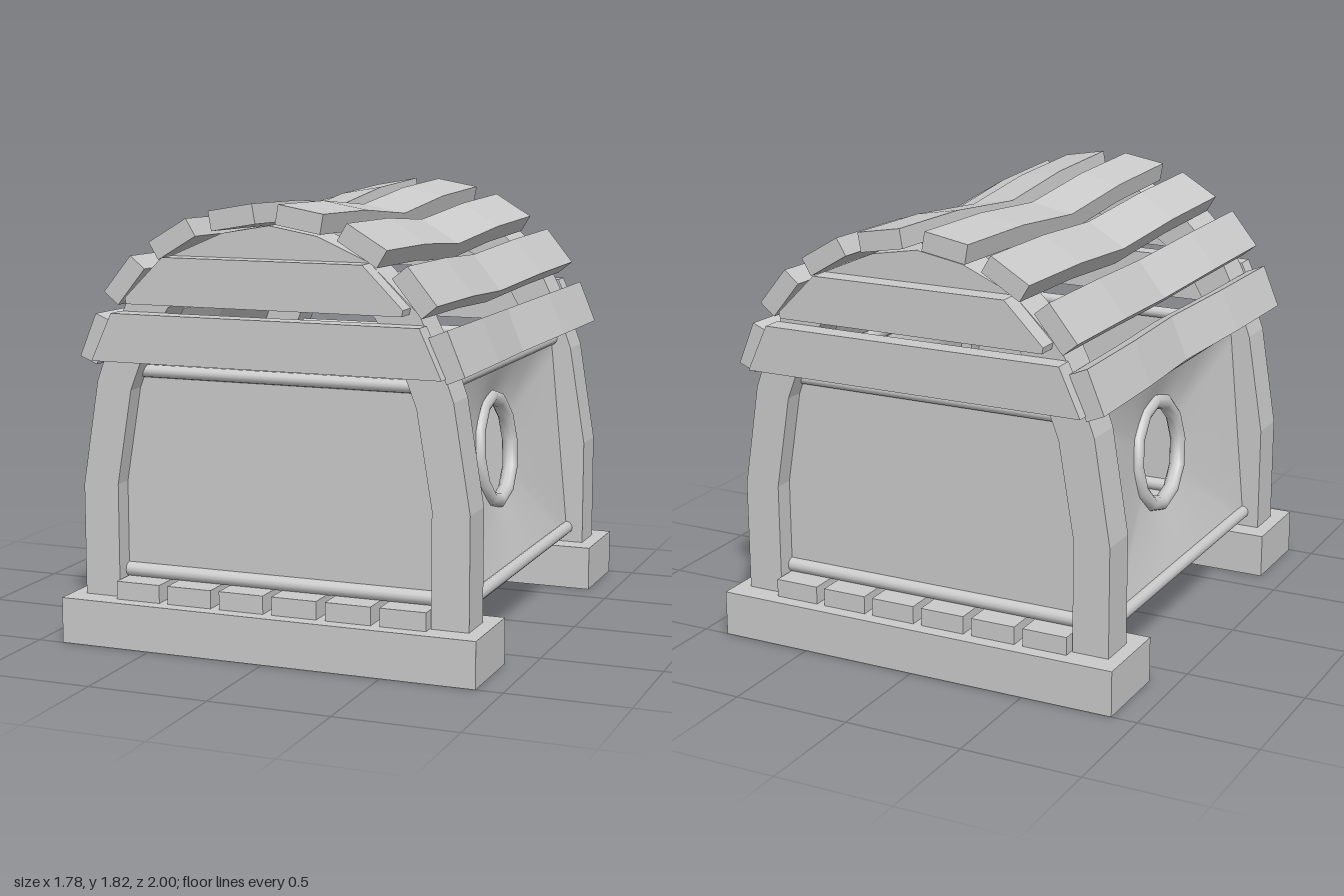
import * as THREE from 'three';

const mat = new THREE.MeshStandardMaterial({ color: 0xcccccc, flatShading: true });
const smooth = new THREE.MeshStandardMaterial({ color: 0xcccccc });
const cloth = new THREE.MeshStandardMaterial({ color: 0xcccccc, side: THREE.DoubleSide });

function add(parent, name, geometry, material, x = 0, y = 0, z = 0) {
  const mesh = new THREE.Mesh(geometry, material);
  mesh.name = name;
  mesh.position.set(x, y, z);
  parent.add(mesh);
  return mesh;
}

// Closed outline from its right half, listed bottom to top
function mirrored(half) {
  const left = half.filter(([x]) => x > 0).map(([x, y]) => [-x, y]).reverse();
  return [...half, ...left].map(([x, y]) => new THREE.Vector2(x, y));
}

function extrude(points, depth) {
  return new THREE.ExtrudeGeometry(new THREE.Shape(points), { depth, bevelEnabled: false });
}

// Round bar along x or z
function bar(parent, name, axis, length, r, x, y, z) {
  const g = new THREE.CylinderGeometry(r, r, length, 12);
  if (axis === 'x') g.rotateZ(Math.PI / 2);
  else g.rotateX(Math.PI / 2);
  add(parent, name, g, smooth, x, y, z);
}

const outer = [[0.83, 0.19], [0.83, 0.65], [0.76, 1.08], [0.7, 1.245], [0.62, 1.41], [0.42, 1.6], [0.2, 1.695], [0, 1.73]];
const inner = [[0.675, 0.19], [0.675, 0.66], [0.61, 1.05], [0.56, 1.18], [0.44, 1.39], [0.3, 1.49], [0.15, 1.55], [0, 1.57]];

function archGeometry() {
  const out = mirrored(outer), inn = mirrored(inner).reverse();
  return extrude([...out, ...inn], 0.17);
}

// One gable end: base beam, arch, panel, bars and gable boards
function createEnd() {
  const end = new THREE.Group();
  end.name = 'gableEnd';
  add(end, 'baseBeam', new THREE.BoxGeometry(1.78, 0.19, 0.37), mat, 0, 0.095, 0.815);
  add(end, 'arch', archGeometry(), mat, 0, 0, 0.73);
  const panel = mirrored([[0.68, 0.29], [0.68, 0.66], [0.615, 1.05], [0.59, 1.12]]);
  add(end, 'endPanel', new THREE.ShapeGeometry(new THREE.Shape(panel)), cloth, 0, 0, 0.815);
  bar(end, 'lowerEndBar', 'x', 1.36, 0.03, 0, 0.29, 0.815);
  bar(end, 'upperEndBar', 'x', 1.21, 0.026, 0, 1.12, 0.815);
  add(end, 'lowerGableBoard', extrude(mirrored([[0.74, 1.175], [0.65, 1.37]]), 0.085), mat, 0, 0, 0.9);
  add(end, 'upperGableBoard', extrude(mirrored([[0.58, 1.41], [0.585, 1.435], [0.42, 1.6]]), 0.085), mat, 0, 0, 0.9);
  return end;
}

// Side wall: rings of points from the round window out to a rectangle, dished inward at the window
const BOT = 0.255, TOP = 1.12, CY = 0.74, RADIUS = 0.222, SAG = 0.07;
const wallX = y => 0.755 - 0.085 * (y - BOT) / (TOP - BOT);

function sideWallGeometry() {
  const N = 48, M = 4, pos = [], index = [];
  const corners = [[0.73, TOP], [-0.73, TOP], [-0.73, BOT], [0.73, BOT]];
  const angles = Array.from({ length: N }, (_, i) => (i / N) * Math.PI * 2);
  // Snap the nearest spoke to each corner
  for (const [z, y] of corners) {
    const a = (Math.atan2(y - CY, z) + Math.PI * 2) % (Math.PI * 2);
    angles[Math.round(a / (Math.PI * 2) * N) % N] = a;
  }
  for (const a of angles) {
    const c = Math.cos(a), s = Math.sin(a);
    const reach = Math.min(0.73 / Math.max(Math.abs(c), 1e-6),
      (s > 0 ? TOP - CY : CY - BOT) / Math.max(Math.abs(s), 1e-6));
    for (let j = 0; j <= M; j++) {
      const t = j / M, r = RADIUS + (reach - RADIUS) * t;
      const y = CY + r * s;
      pos.push(wallX(y) - SAG * (1 - t), y, r * c);
    }
  }
  for (let i = 0; i < N; i++) for (let j = 0; j < M; j++) {
    const a = i * (M + 1) + j, b = ((i + 1) % N) * (M + 1) + j;
    index.push(a, b, b + 1, a, b + 1, a + 1);
  }
  const g = new THREE.BufferGeometry();
  g.setAttribute('position', new THREE.Float32BufferAttribute(pos, 3));
  g.setIndex(index);
  g.computeVertexNormals();
  return g;
}

function createSide() {
  const side = new THREE.Group();
  side.name = 'side';
  add(side, 'sideWall', sideWallGeometry(), cloth);
  const ring = new THREE.TorusGeometry(RADIUS, 0.033, 10, 12);
  ring.rotateY(Math.PI / 2);
  const mesh = add(side, 'windowRing', ring, smooth, wallX(CY) - SAG, CY, 0);
  mesh.rotation.z = Math.atan(0.085 / (TOP - BOT));
  bar(side, 'lowerSideBar', 'z', 1.46, 0.028, 0.755, BOT, 0);
  bar(side, 'upperSideBar', 'z', 1.46, 0.028, 0.67, TOP, 0);
  return side;
}

// Roof plank, sagging towards the middle of its length
function plankGeometry() {
  const g = new THREE.BoxGeometry(0.19, 0.08, 1.87, 1, 1, 4);
  const p = g.attributes.position;
  for (let i = 0; i < p.count; i++) {
    const t = Math.abs(p.getZ(i)) / 0.935;
    const drop = t < 0.5 ? 0.06 - 0.09 * t : 0.03 * (1 - t);
    p.setY(i, p.getY(i) - drop);
  }
  return g;
}

export function createModel() {
  const model = new THREE.Group();
  model.name = 'shelter';

  for (const turn of [0, Math.PI]) {
    const end = createEnd(), side = createSide();
    end.rotation.y = side.rotation.y = turn;
    model.add(end, side);
  }

  // Floor slats
  for (let i = 0; i < 6; i++) {
    add(model, 'floorSlat', new THREE.BoxGeometry(0.192, 0.075, 1.88), mat, (i - 2.5) * 0.229, 0.2275, 0);
  }

  // Roof planks: x, y and tilt in degrees
  const planks = [[0.743, 1.257, 67.6], [0.613, 1.498, 51], [0.4, 1.668, 31], [0.142, 1.76, 10]];
  for (const [x, y, tilt] of planks) for (const s of [-1, 1]) {
    const plank = add(model, 'roofPlank', plankGeometry(), mat, s * x, y, 0);
    plank.rotation.z = -s * THREE.MathUtils.degToRad(tilt);
  }
  return model;
}
